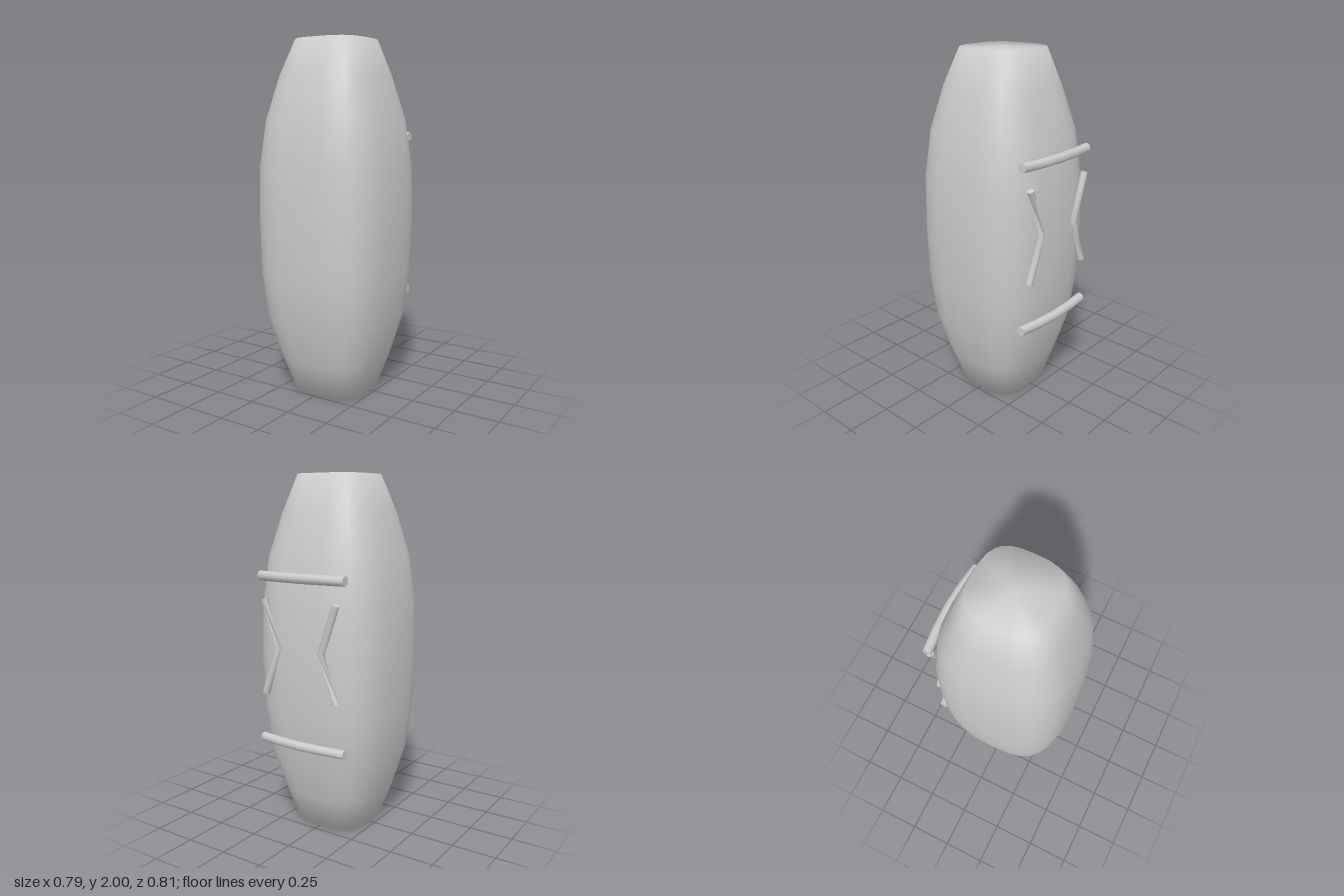
import * as THREE from 'three';
import { toCreasedNormals } from 'three/addons/utils/BufferGeometryUtils.js';

const material = new THREE.MeshStandardMaterial({ color: 0xcccccc });

// Closed skin over rings of equal point count, listed from bottom to top
function loft(rings) {
  const n = rings[0].length;
  const last = (rings.length - 1) * n;
  const points = rings.flat();
  const middle = (ring) => ring.reduce((sum, p) => sum.add(p), new THREE.Vector3()).divideScalar(n);
  const bottom = points.push(middle(rings[0])) - 1;
  const top = points.push(middle(rings[rings.length - 1])) - 1;
  const index = [];
  for (let i = 0; i < n; i++) {
    const j = (i + 1) % n;
    for (let b = 0; b < last; b += n) {
      index.push(b + i, b + n + i, b + j, b + j, b + n + i, b + n + j);
    }
    index.push(bottom, i, j, top, last + j, last + i);
  }
  const geometry = new THREE.BufferGeometry().setFromPoints(points);
  geometry.setIndex(index);
  geometry.computeVertexNormals();
  return geometry;
}

function makeRing(n, pointAt) {
  return Array.from({ length: n }, (_, i) => pointAt((i / n) * Math.PI * 2));
}

// Round ring about a centre, facing along (dx, dy), optionally twisted
function roundRing(n, radius, x, y, z, dx, dy, twist = 0) {
  const len = Math.hypot(dx, dy);
  return makeRing(n, (a) => {
    const c = radius * Math.cos(a + twist);
    const s = radius * Math.sin(a + twist);
    return new THREE.Vector3(x + (c * dy) / len, y - (c * dx) / len, z + s);
  });
}

function addMesh(group, name, geometry) {
  const mesh = new THREE.Mesh(geometry, material);
  mesh.name = name;
  group.add(mesh);
  return mesh;
}

export function createModel() {
  const model = new THREE.Group();
  model.name = 'barrelPod';

  // Barrel body: rounded-square sections as [height, half width, front z, back z]
  const sections = [
    [0, 0.22, 0.23, -0.205],
    [0.2, 0.29, 0.3, -0.272],
    [0.44, 0.358, 0.37, -0.345],
    [0.7, 0.386, 0.4, -0.376],
    [1.0, 0.397, 0.404, -0.385],
    [1.3, 0.39, 0.4, -0.376],
    [1.56, 0.354, 0.37, -0.345],
    [1.8, 0.285, 0.3, -0.27],
    [2, 0.207, 0.22, -0.2],
  ];
  const soften = (v) => Math.sign(v) * Math.abs(v) ** (2 / 3);
  addMesh(model, 'body', loft(sections.map(([y, w, front, back]) => makeRing(28, (a) => new THREE.Vector3(
    w * soften(Math.cos(a)),
    y,
    (front + back) / 2 + ((front - back) / 2) * soften(Math.sin(a)),
  )))));

  // Two gently bowed bars across the back
  const barPath = [[-0.275, -0.357], [-0.14, -0.373], [0, -0.38], [0.14, -0.373], [0.275, -0.357]];
  const barGeometry = toCreasedNormals(
    loft(barPath.map(([y, z]) => roundRing(8, 0.027, 0, y, z, 0, 1))), 1.05);
  for (const [name, y] of [['lowerBar', 0.54], ['upperBar', 1.46]]) {
    const bar = addMesh(model, name, barGeometry);
    bar.rotation.z = Math.PI / 2;
    bar.position.y = y;
  }

  // Bent struts, one arm plain and one pinched by a twist; the second is turned half round
  const strutGeometry = toCreasedNormals(loft([
    roundRing(8, 0.021, 0.232, -0.262, -0.379, -0.09, 0.262),
    roundRing(8, 0.021, 0.142, 0, -0.382, 0, 1),
    roundRing(8, 0.021, 0.232, 0.262, -0.379, 0.09, 0.262, 2.5),
  ]), 1.05);
  for (const [name, turn] of [['leftStrut', 0], ['rightStrut', Math.PI]]) {
    const strut = addMesh(model, name, strutGeometry);
    strut.rotation.z = turn;
    strut.position.y = 1.075;
  }

  return model;
}
